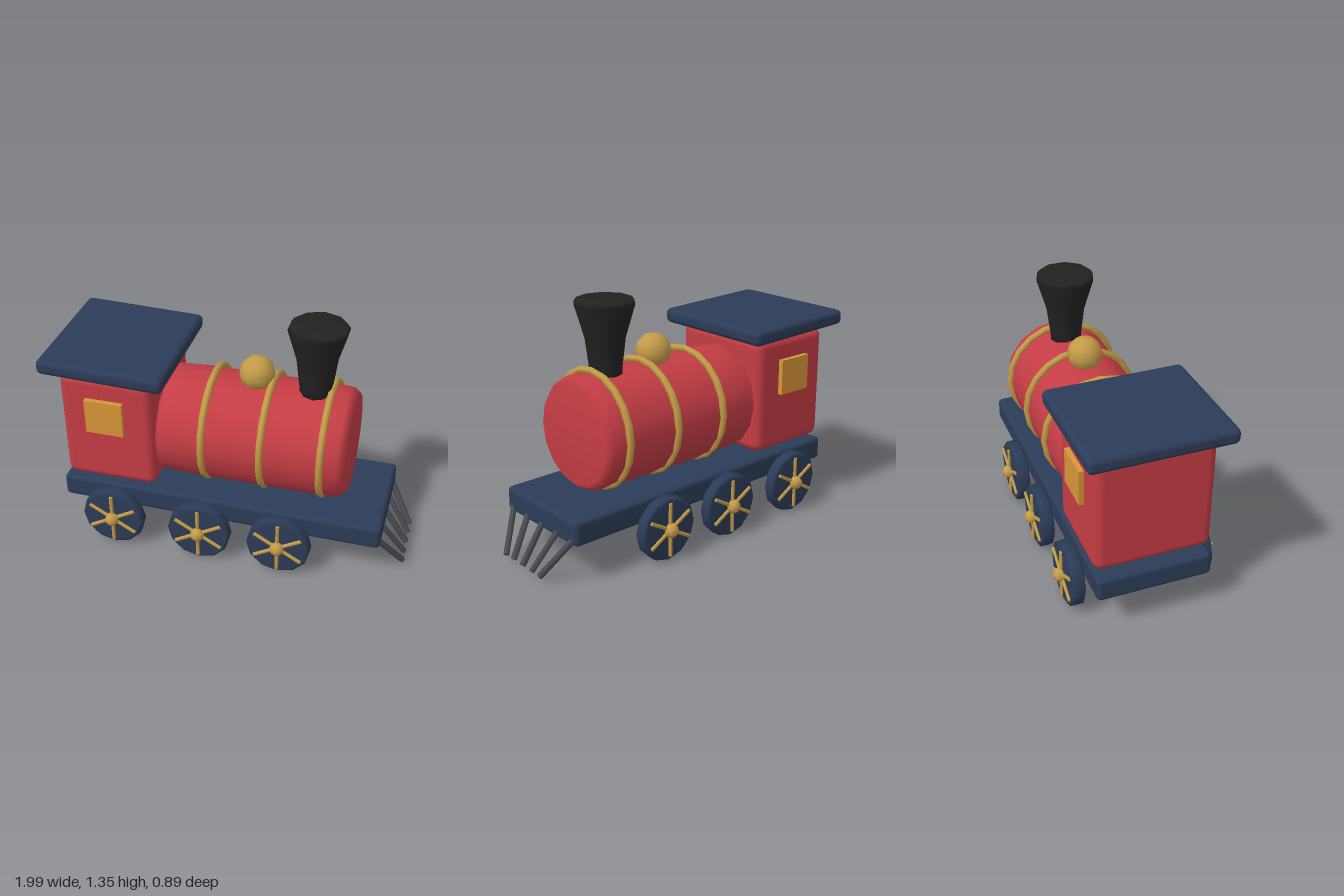
import * as THREE from 'three';
import { RoundedBoxGeometry } from 'three/addons/geometries/RoundedBoxGeometry.js';

function material(name, color) {
  const m = new THREE.MeshStandardMaterial({ color });
  m.name = name;
  return m;
}

export function createModel() {
  const red = material('red paint', 0xc53d45);
  const navy = material('navy paint', 0x2c3c58);
  const gold = material('brass', 0xc49c48);
  const amber = material('amber glass', 0xd9963a);
  const black = material('black iron', 0x222222);
  const grey = material('grey steel', 0x4b4d54);

  const train = new THREE.Group();
  train.name = 'steamTrain';

  function add(name, geometry, mat, x = 0, y = 0, z = 0, parent = train) {
    const mesh = new THREE.Mesh(geometry, mat);
    mesh.name = name;
    mesh.position.set(x, y, z);
    parent.add(mesh);
    return mesh;
  }
  const lathe = (points, sides) =>
    new THREE.LatheGeometry(points.map(p => new THREE.Vector2(...p)), sides);

  // Straight rod between two points
  function rod(name, a, b, radius, mat, parent = train) {
    const from = new THREE.Vector3(...a), to = new THREE.Vector3(...b);
    const dir = to.clone().sub(from);
    const mid = from.add(to).multiplyScalar(0.5);
    const mesh = add(name, new THREE.CylinderGeometry(radius, radius, dir.length(), 6), mat, mid.x, mid.y, mid.z, parent);
    mesh.quaternion.setFromUnitVectors(new THREE.Vector3(0, 1, 0), dir.normalize());
  }

  // Chassis, cab and gently tilted roof
  add('chassis', new RoundedBoxGeometry(1.8, 0.135, 0.62, 2, 0.025), navy, -0.04, 0.288, 0).rotation.z = -0.005;
  add('cab', new RoundedBoxGeometry(0.52, 0.65, 0.63, 2, 0.05), red, -0.65, 0.715, 0);
  add('roof', new RoundedBoxGeometry(0.69, 0.085, 0.76, 2, 0.03), navy, -0.655, 1.09, 0).rotation.z = -0.03;

  // Side windows
  for (const side of [1, -1]) {
    add(side > 0 ? 'leftSideWindow' : 'rightSideWindow',
      new THREE.BoxGeometry(0.21, 0.2, 0.03), amber, -0.655, 0.815, side * 0.327);
  }

  // Boiler with bevelled ends, lying along x
  const boiler = lathe([
    [0, -0.4], [0.275, -0.4], [0.3, -0.37], [0.308, -0.2],
    [0.308, 0.5], [0.303, 0.6], [0.27, 0.64], [0, 0.64],
  ], 16);
  boiler.rotateZ(-Math.PI / 2);
  add('boiler', boiler, red, 0, 0.67, 0);

  // Brass bands
  for (const x of [-0.13, 0.19, 0.51]) {
    add('boilerBand', new THREE.TorusGeometry(0.312, 0.02, 6, 20), gold, x, 0.68, 0).rotation.y = Math.PI / 2;
  }

  // Steam dome and flared chimney
  add('steamDome', new THREE.SphereGeometry(0.098, 10, 6), gold, 0.1, 1.025, 0);
  add('chimney', lathe([
    [0, 0.93], [0.088, 0.93], [0.09, 1], [0.11, 1.16],
    [0.162, 1.335], [0.15, 1.355], [0, 1.355],
  ], 10), black, 0.42, 0, 0);

  // Wheels with spokes and hub on the outer face
  const wheelShape = lathe([
    [0, -0.037], [0.16, -0.037], [0.177, -0.025], [0.177, 0.025], [0.16, 0.037], [0, 0.037],
  ], 12);
  wheelShape.rotateX(Math.PI / 2);
  for (const side of [1, -1]) {
    for (const x of [-0.63, -0.13, 0.32]) {
      const wheel = new THREE.Group();
      wheel.name = side > 0 ? 'leftWheel' : 'rightWheel';
      wheel.position.set(x, 0.18, side * 0.355);
      wheel.rotation.y = side > 0 ? 0 : Math.PI;
      train.add(wheel);
      add('wheelDisc', wheelShape, navy, 0, 0, 0, wheel);
      for (let i = 0; i < 3; i++) {
        const a = Math.PI / 2 + i * Math.PI / 3;
        const dx = Math.cos(a) * 0.15, dy = Math.sin(a) * 0.15;
        rod('spokePair', [-dx, -dy, 0.04], [dx, dy, 0.04], 0.011, gold, wheel);
      }
      add('hub', new THREE.SphereGeometry(0.04, 8, 6), gold, 0, 0, 0.048, wheel);
    }
  }

  // Fan of track-clearing bars
  for (const [top, bottom] of [[-0.27, -0.155], [-0.135, -0.083], [0, 0], [0.135, 0.083], [0.27, 0.155]]) {
    rod('frontGuardBar', [0.845, 0.25, top], [0.98, 0.045, bottom], 0.017, grey);
  }
  return train;
}
